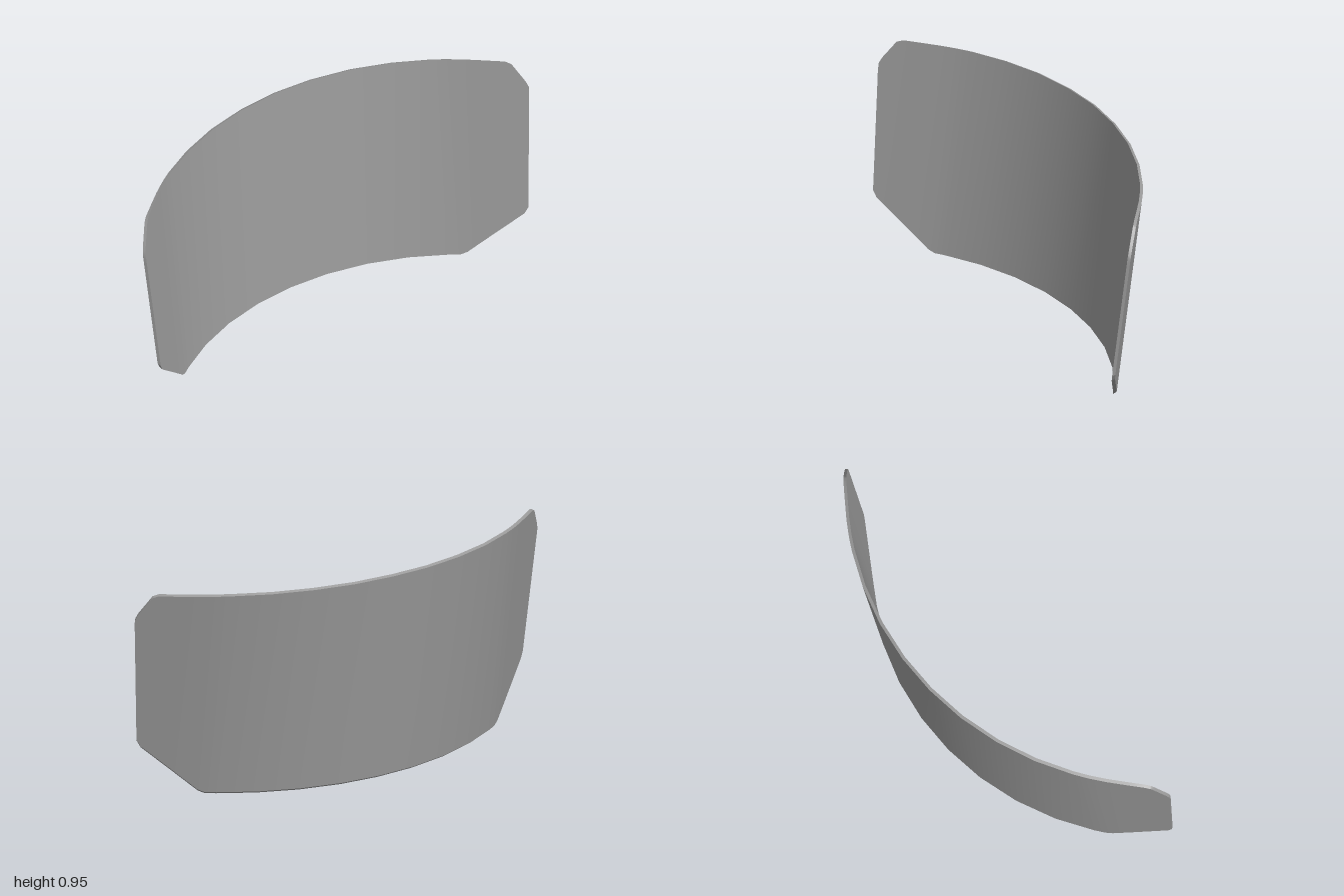
import * as THREE from 'three';
import { toCreasedNormals } from 'three/addons/utils/BufferGeometryUtils.js';

const THICKNESS = 0.013;

// Half outline of the plate, as (x, y) points
const BOTTOM = [[0, 0], [0.72, 0], [0.745, 0.012], [0.945, 0.205], [0.96, 0.235], [0.997, 0.74], [1, 0.78]];
const TOP = [[0, 0.947], [0.36, 0.944], [0.68, 0.938], [0.93, 0.929], [0.95, 0.918], [0.992, 0.835], [1, 0.81]];
const HALF_COLUMNS = [0.18, 0.36, 0.53, 0.68, 0.72, 0.745, 0.8, 0.87,
  0.93, 0.945, 0.95, 0.96, 0.975, 0.992, 0.997, 1];

// Height of an outline at a given x
function heightAt(points, x) {
  const a = Math.abs(x);
  let i = 1;
  while (i < points.length - 1 && points[i][0] < a) i++;
  const [x0, y0] = points[i - 1], [x1, y1] = points[i];
  return y0 + (y1 - y0) * (a - x0) / (x1 - x0);
}

// Point on the backward-leaning cone with flat wings, moved inwards by depth
function sheetPoint(x, y, depth) {
  const scale = 0.92 + 0.085 * y;
  const radius = 1.34 * scale;
  const wingStart = 0.84 * scale;
  const arcX = Math.min(Math.abs(x), wingStart);
  const angle = Math.asin(arcX / radius);
  const rise = radius * (1 - Math.cos(angle)) + (Math.abs(x) - arcX) * Math.tan(angle);
  return [
    x - Math.sign(x) * Math.sin(angle) * depth,
    y,
    -0.137 - 0.116 * y + rise + Math.cos(angle) * depth,
  ];
}

function curvedPlate() {
  const columns = [...HALF_COLUMNS.map((x) => -x).reverse(), 0, ...HALF_COLUMNS];
  const n = columns.length;
  // Outline loop: along the bottom to the right, then back along the top.
  // The inset chamfers the rim towards the back.
  const outline = (insetBottom, insetTop) => [
    ...columns.map((x) => [x, heightAt(BOTTOM, x) + insetBottom]),
    ...columns.map((x) => [x, heightAt(TOP, x) - insetTop]).reverse(),
  ];
  const count = 2 * n;
  const positions = [
    ...outline(0, 0).flatMap(([x, y]) => sheetPoint(x, y, THICKNESS)),
    ...outline(0.01, 0.006).flatMap(([x, y]) => sheetPoint(x, y, 0)),
  ];
  const indices = [];
  const quad = (a, b, c, d) => indices.push(a, b, c, a, c, d);

  // Front and back faces, one strip per column
  for (let i = 0; i < n - 1; i++) {
    const top = count - 1 - i;
    quad(i, i + 1, top - 1, top);
    quad(count + i + 1, count + i, count + top, count + top - 1);
  }
  // Rim
  for (let k = 0; k < count; k++) {
    const next = (k + 1) % count;
    quad(count + k, count + next, next, k);
  }

  const geometry = new THREE.BufferGeometry();
  geometry.setAttribute('position', new THREE.Float32BufferAttribute(positions, 3));
  geometry.setIndex(indices);
  return toCreasedNormals(geometry, 0.6);
}

export function createModel() {
  const group = new THREE.Group();
  group.name = 'curvedPanel';
  const plate = new THREE.Mesh(curvedPlate(), new THREE.MeshStandardMaterial({ color: 0x999999 }));
  plate.name = 'plate';
  group.add(plate);
  return group;
}
